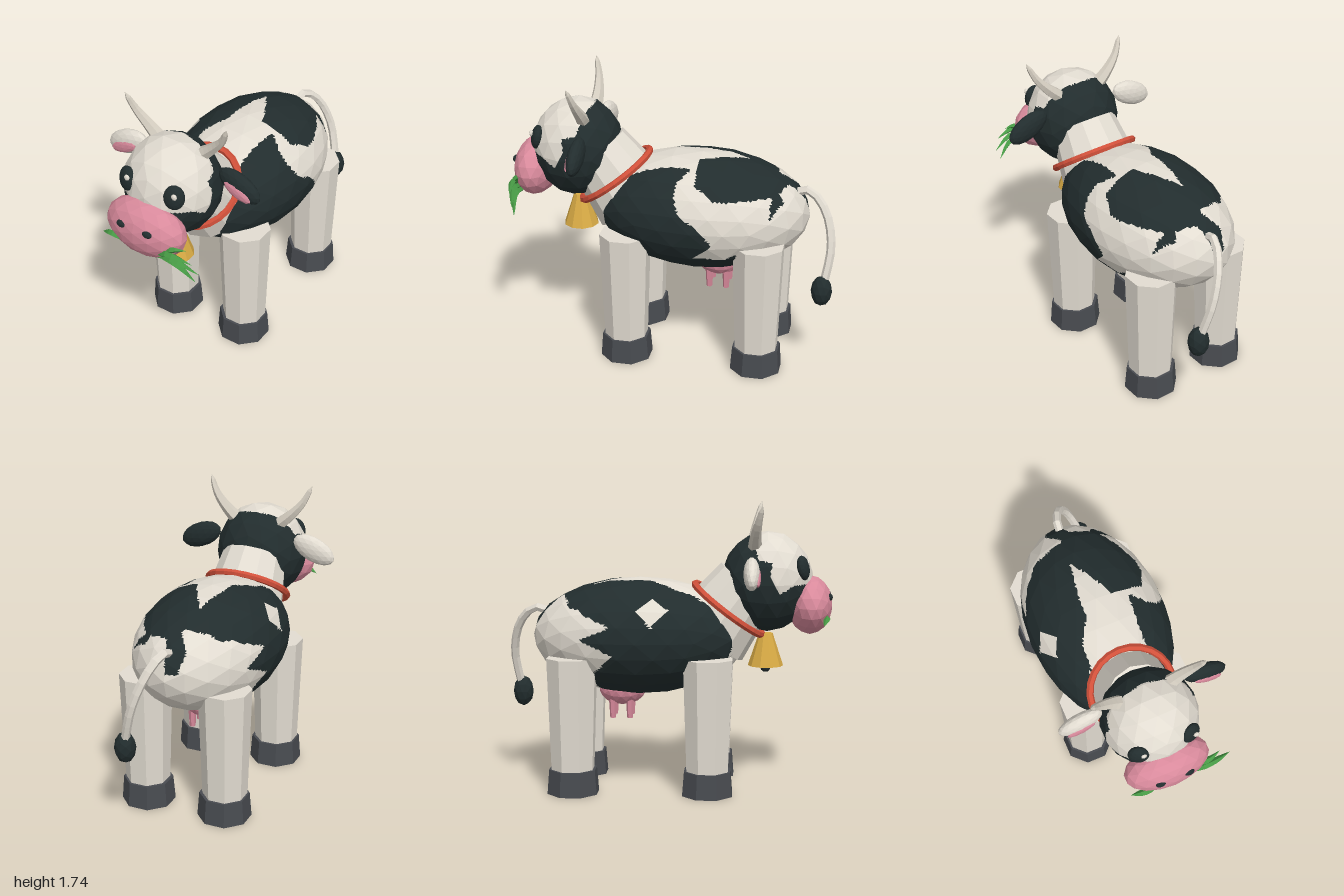
import * as THREE from 'three';

const mat = (name, color) => {
  const m = new THREE.MeshStandardMaterial({ color });
  m.name = name;
  return m;
};
const M = {
  white: mat('coat white', 0xe2dcd1),
  black: mat('coat black', 0x222d2e),
  pink: mat('skin pink', 0xd98a9c),
  hoof: mat('hoof grey', 0x484b50),
  horn: mat('horn bone', 0xd3ccbf),
  red: mat('collar red', 0xd0503a),
  gold: mat('bell gold', 0xd9ab45),
  green: mat('grass green', 0x479a45),
};

// faceted normals
function flat(geo) {
  const g = geo.index ? geo.toNonIndexed() : geo;
  g.computeVertexNormals();
  return g;
}

const ellipsoid = (rx, ry, rz, detail) => flat(new THREE.IcosahedronGeometry(1, detail).scale(rx, ry, rz));

function add(parent, name, geo, material, x = 0, y = 0, z = 0) {
  const mesh = new THREE.Mesh(geo, material);
  mesh.name = name;
  mesh.position.set(x, y, z);
  parent.add(mesh);
  return mesh;
}

// tube along a smooth path whose radius follows radius(t)
function taperTube(points, radius, steps = 8, sides = 6) {
  const path = new THREE.CatmullRomCurve3(points.map((p) => new THREE.Vector3(...p)));
  const geo = new THREE.TubeGeometry(path, steps, 1, sides);
  const pos = geo.attributes.position, v = new THREE.Vector3();
  for (let i = 0; i < pos.count; i++) {
    const t = Math.floor(i / (sides + 1)) / steps;
    const c = path.getPointAt(t);
    v.fromBufferAttribute(pos, i).sub(c).multiplyScalar(radius(t)).add(c);
    pos.setXYZ(i, v.x, v.y, v.z);
  }
  return flat(geo);
}

function inside(poly, a, b) {
  let hit = false;
  for (let i = 0, j = poly.length - 1; i < poly.length; j = i++) {
    const [ai, bi] = poly[i], [aj, bj] = poly[j];
    if (bi > b !== bj > b && a < ((aj - ai) * (b - bi)) / (bj - bi) + ai) hit = !hit;
  }
  return hit;
}

// cut every facet into small coplanar pieces and sort them into white and black groups
function patched(geo, isBlack, n = 8) {
  const pos = geo.attributes.position, out = [[], []];
  const [a, b, c] = [0, 1, 2].map(() => new THREE.Vector3());
  for (let f = 0; f < pos.count; f += 3) {
    [a, b, c].forEach((v, k) => v.fromBufferAttribute(pos, f + k));
    const at = (i, j) => a.clone().addScaledVector(b.clone().sub(a), i / n).addScaledVector(c.clone().sub(a), j / n);
    const put = (...tri) => {
      const m = tri[0].clone().add(tri[1]).add(tri[2]).divideScalar(3);
      const list = out[isBlack(m.x, m.y, m.z) ? 1 : 0];
      tri.forEach((p) => list.push(p.x, p.y, p.z));
    };
    for (let i = 0; i < n; i++) {
      for (let j = 0; j < n - i; j++) {
        put(at(i, j), at(i + 1, j), at(i, j + 1));
        if (i + j < n - 1) put(at(i + 1, j), at(i + 1, j + 1), at(i, j + 1));
      }
    }
  }
  const g = new THREE.BufferGeometry();
  g.setAttribute('position', new THREE.Float32BufferAttribute(out[0].concat(out[1]), 3));
  g.addGroup(0, out[0].length / 3, 0);
  g.addGroup(out[0].length / 3, out[1].length / 3, 1);
  g.computeVertexNormals();
  return g;
}

// coat patches: back as (x, z), flanks and head as (z, y)
const backPatch = [[0, -0.82], [0.04, -0.7], [0.16, -0.66], [0.19, -0.69], [0.3, -0.62], [0.37, -0.58], [0.37, -0.33],
  [0.3, -0.18], [0.1, -0.17], [0.03, -0.32], [-0.05, -0.45], [-0.09, -0.21], [-0.09, -0.1], [-0.18, 0.05], [-0.18, 0.17],
  [-0.25, 0.4], [-0.5, 0.4], [-0.5, -0.3], [-0.39, -0.4], [-0.34, -0.53], [-0.3, -0.62], [-0.27, -0.54], [-0.23, -0.58],
  [-0.02, -0.64], [-0.1, -0.74], [-0.07, -0.82]];
const shoulderPatch = [[0.17, 0.4], [0.17, 0.1], [0.19, -0.14], [0.3, -0.06], [0.5, -0.06], [0.5, 0.4]];
const diamond = [[-0.41, -0.08], [-0.36, -0.17], [-0.29, -0.07], [-0.34, 0.03]];
const leftFlank = [[0.6, 1.2], [-0.06, 1.2], [-0.065, 1.12], [-0.1, 1.04], [-0.225, 0.96], [-0.3, 0.866], [-0.19, 0.76],
  [-0.365, 0.753], [-0.44, 0.8], [-0.42, 0.67], [-0.34, 0.5], [0.6, 0.5]];
const rightFlank = [[0.6, 1.2], [-0.5, 1.2], [-0.5, 1.1], [-0.32, 1.03], [-0.5, 0.95], [-0.3, 0.86], [-0.45, 0.72],
  [-0.35, 0.5], [0.6, 0.5]];
const headPatch = [[0.95, 1.26], [0.76, 1.27], [0.68, 1.22], [0.62, 1.32], [0.63, 1.4], [0.55, 1.42], [0.52, 1.53],
  [0.46, 1.58], [0.2, 1.58], [0.2, 0.9], [0.95, 0.9]];

function bodyBlack(x, y, z) {
  if (z > 0.2 && x > -0.2 && x < 0.13) return false;
  if (y < 0.83 && z > 0.4) return false;
  if (y > 0.95 && inside(diamond, x, z)) return false;
  if (y > 1.12 || (z < -0.62 && y > 0.98)) return inside(backPatch, x, z) || inside(shoulderPatch, x, z);
  return inside(x > 0 ? leftFlank : rightFlank, z, y);
}

export function createModel() {
  const cow = new THREE.Group();
  cow.name = 'cow';
  const coat = [M.white, M.black];

  // body, neck, head
  add(cow, 'body', patched(ellipsoid(0.43, 0.358, 0.66, 3).translate(0, 0.935, -0.17), bodyBlack), coat);
  const tilt = Math.atan2(0.6, 0.8);
  add(cow, 'neck', flat(new THREE.CylinderGeometry(0.205, 0.26, 0.4, 12)), M.white, 0, 1.1, 0.37).rotation.x = tilt;
  add(cow, 'head', patched(ellipsoid(0.29, 0.306, 0.278, 2).translate(0, 1.272, 0.605),
    (x, y, z) => inside(headPatch, z, y)), coat);
  add(cow, 'muzzle', ellipsoid(0.262, 0.178, 0.136, 2), M.pink, 0, 1.13, 0.865);

  // collar and bell
  add(cow, 'collar', flat(new THREE.TorusGeometry(0.255, 0.022, 6, 24)), M.red, 0, 1.1, 0.37).rotation.x = tilt + Math.PI / 2;
  add(cow, 'bell', flat(new THREE.CylinderGeometry(0.042, 0.108, 0.2, 10)), M.gold, 0, 0.853, 0.6);
  add(cow, 'clapper', ellipsoid(0.03, 0.026, 0.03, 1), M.black, 0, 0.737, 0.6);

  for (const s of [-1, 1]) {
    const side = s > 0 ? 'left' : 'right';
    // eyes and nostrils
    const eye = add(cow, side + 'Eye', ellipsoid(0.062, 0.075, 0.035, 2), M.black, s * 0.16, 1.367, 0.815);
    eye.rotation.set(-0.2, s * 0.35, 0);
    add(cow, side + 'EyeGlint', ellipsoid(0.018, 0.02, 0.012, 1), M.white, s * 0.16 + 0.02, 1.395, 0.843);
    add(cow, side + 'Nostril', ellipsoid(0.032, 0.023, 0.02, 1), M.black, s * 0.088, 1.185, 0.978);

    // ears
    const ear = new THREE.Group();
    ear.name = side + 'Ear';
    ear.position.set(s * 0.385, 1.35, 0.51);
    ear.rotation.z = -s * 0.42;
    add(ear, 'earShell', ellipsoid(0.145, 0.078, 0.048, 2), s > 0 ? M.black : M.white);
    add(ear, 'earInner', ellipsoid(0.095, 0.04, 0.018, 1), M.pink, s * 0.015, -0.015, 0.037);
    cow.add(ear);

    // horns
    add(cow, side + 'Horn', taperTube(
      [[s * 0.13, 1.47, 0.53], [s * 0.21, 1.54, 0.53], [s * 0.29, 1.63, 0.545], [s * 0.342, 1.74, 0.572]],
      (t) => (t === 1 ? 0 : 0.046 - 0.034 * t), 9), M.horn);

    // legs, hooves and teats
    for (const [end, z, teatZ] of [['Front', 0.255, -0.23], ['Back', -0.56, -0.335]]) {
      const octagon = (top, bottom, h) => flat(new THREE.CylinderGeometry(top, bottom, h, 8).rotateY(Math.PI / 8));
      add(cow, side + end + 'Leg', octagon(0.158, 0.134, 0.69), M.white, s * 0.255, 0.485, z);
      add(cow, side + end + 'Hoof', octagon(0.15, 0.162, 0.15), M.hoof, s * 0.252, 0.075, z);
      add(cow, side + end + 'Teat', flat(new THREE.CylinderGeometry(0.026, 0.018, 0.13, 6)), M.pink, s * 0.06, 0.49, teatZ);
    }
  }

  // udder
  add(cow, 'udder', ellipsoid(0.125, 0.1, 0.145, 2), M.pink, 0, 0.6, -0.28);

  // tail
  add(cow, 'tail', taperTube(
    [[0, 1.08, -0.74], [0.01, 1.1, -0.82], [0.06, 1.01, -0.92], [0.13, 0.82, -0.975], [0.2, 0.56, -0.945]],
    () => 0.026, 10), M.white);
  add(cow, 'tailTuft', ellipsoid(0.064, 0.097, 0.064, 1), M.black, 0.2, 0.537, -0.937);

  // grass held in the mouth
  const blades = [
    [[0.1, 1.02, 0.93], [0.22, 1.09, 0.96], [0.36, 1.065, 0.94]],
    [[0.1, 1.01, 0.93], [0.25, 1.055, 0.95], [0.39, 0.995, 0.92]],
    [[0.11, 1.01, 0.92], [0.26, 1.02, 0.94], [0.365, 0.925, 0.915]],
    [[0.12, 1.04, 0.92], [0.24, 1.12, 0.94], [0.31, 1.13, 0.92]],
    [[-0.1, 1.04, 0.95], [-0.17, 1.065, 0.96], [-0.255, 1.03, 0.94]],
  ];
  blades.forEach((b, i) => add(cow, 'grassBlade' + (i + 1),
    taperTube(b, (t) => 0.021 * Math.sin(Math.PI * (0.12 + 0.88 * t)), 7, 4), M.green));

  return cow;
}
